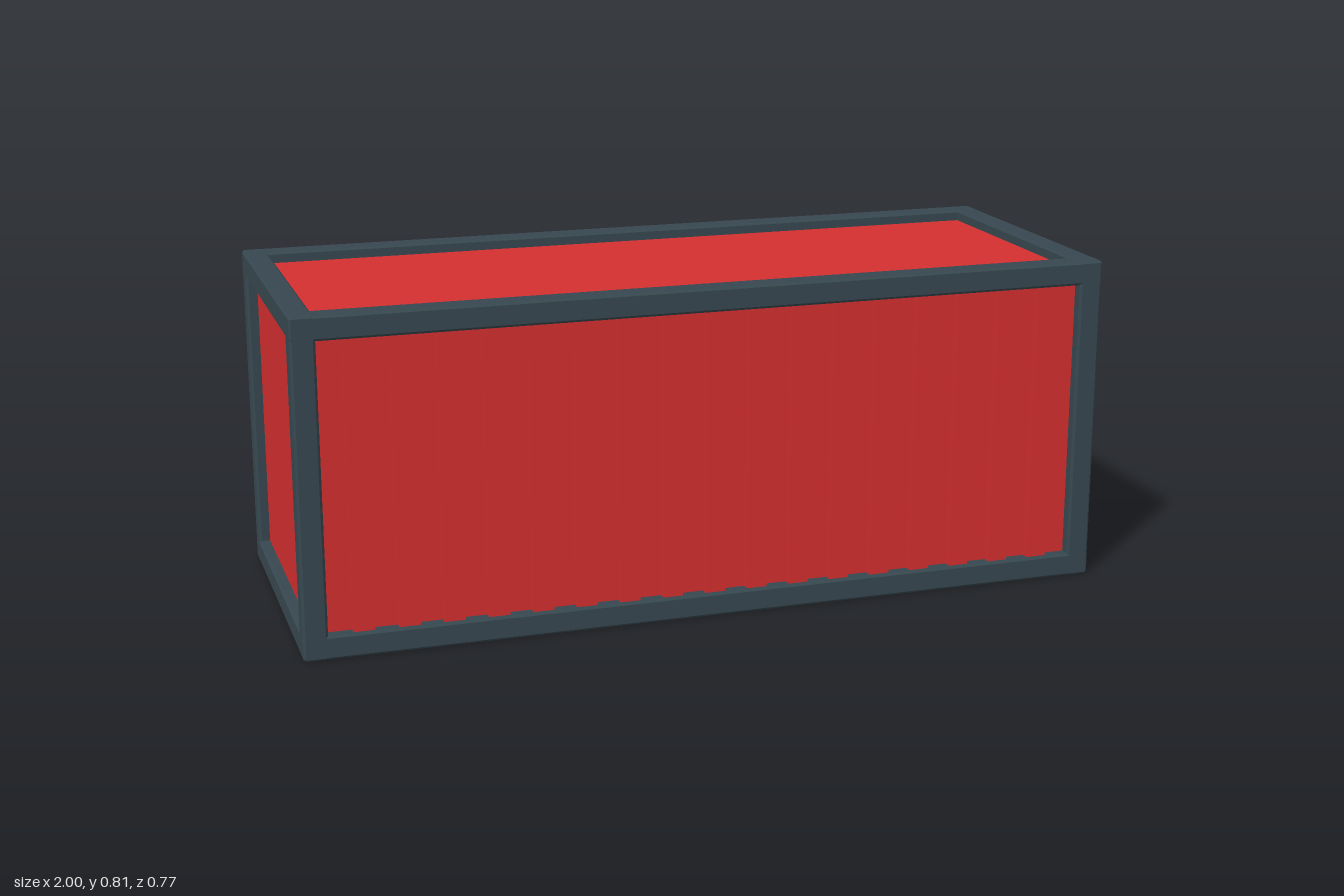
import * as THREE from 'three';

const frameGrey = new THREE.MeshStandardMaterial({ color: 0x37474f });
frameGrey.name = 'frameGrey';
const panelRed = new THREE.MeshStandardMaterial({ color: 0xd32f2f });
panelRed.name = 'panelRed';

// Frame extents, beam thickness, edge chamfer and panel recess
const CX = -0.01, LENGTH = 1.98, HEIGHT = 0.806, DEPTH = 0.774;
const BEAM = 0.058, CHAMFER = 0.005, RECESS = 0.027;

function addBox(parent, name, material, size, position) {
  const mesh = new THREE.Mesh(new THREE.BoxGeometry(...size), material);
  mesh.name = name;
  mesh.position.set(...position);
  parent.add(mesh);
  return mesh;
}

// Square beam along z, chamfered on every edge and centred on the origin
function beamGeometry(length) {
  const h = BEAM / 2 - CHAMFER, c = 0.003;
  const section = new THREE.Shape([
    [h, c - h], [h, h - c], [h - c, h], [c - h, h],
    [-h, h - c], [-h, c - h], [c - h, -h], [h - c, -h],
  ].map(([x, y]) => new THREE.Vector2(x, y)));
  const depth = length - 2 * CHAMFER;
  return new THREE.ExtrudeGeometry(section, {
    depth, bevelEnabled: true, bevelSegments: 1, bevelSize: CHAMFER, bevelThickness: CHAMFER,
  }).translate(0, 0, -depth / 2);
}

export function createModel() {
  const model = new THREE.Group();
  model.name = 'shippingContainer';

  // Twelve beams, four along each axis
  const frame = new THREE.Group();
  frame.name = 'frame';
  model.add(frame);
  const rail = beamGeometry(LENGTH).rotateY(Math.PI / 2);
  const post = beamGeometry(HEIGHT).rotateX(Math.PI / 2);
  const crossBeam = beamGeometry(DEPTH);
  const ox = (LENGTH - BEAM) / 2, oy = (HEIGHT - BEAM) / 2, oz = (DEPTH - BEAM) / 2;
  for (const a of [-1, 1]) for (const b of [-1, 1]) {
    for (const [name, geometry, x, y, z] of [
      ['longRail', rail, 0, a * oy, b * oz],
      ['cornerPost', post, a * ox, 0, b * oz],
      ['crossBeam', crossBeam, a * ox, b * oy, 0],
    ]) {
      const mesh = new THREE.Mesh(geometry, frameGrey);
      mesh.name = name;
      mesh.position.set(CX + x, HEIGHT / 2 + y, z);
      frame.add(mesh);
    }
  }

  // Recessed body forming the roof, floor, ends and side walls
  addBox(model, 'body', panelRed,
    [LENGTH - 2 * RECESS, HEIGHT - 2 * RECESS, DEPTH - 2 * RECESS], [CX, HEIGHT / 2, 0]);

  // Corrugation ribs on both long sides
  const ribs = new THREE.Group();
  ribs.name = 'wallRibs';
  model.add(ribs);
  const pitch = 0.106, ribDepth = 0.018;
  for (const side of [-1, 1]) for (let i = -8; i <= 8; i++) {
    addBox(ribs, 'wallRib', panelRed, [0.05, HEIGHT - 2 * BEAM + 0.02, ribDepth],
      [CX + i * pitch, HEIGHT / 2, side * (DEPTH / 2 - RECESS + ribDepth / 2)]);
  }

  // Upright locking bars on the door end
  const bars = new THREE.Group();
  bars.name = 'doorBars';
  model.add(bars);
  for (const z of [-0.249, -0.083, 0.083, 0.249]) {
    addBox(bars, 'doorBar', frameGrey, [0.02, 0.654, 0.017], [0.99, HEIGHT / 2, z]);
  }
  return model;
}
